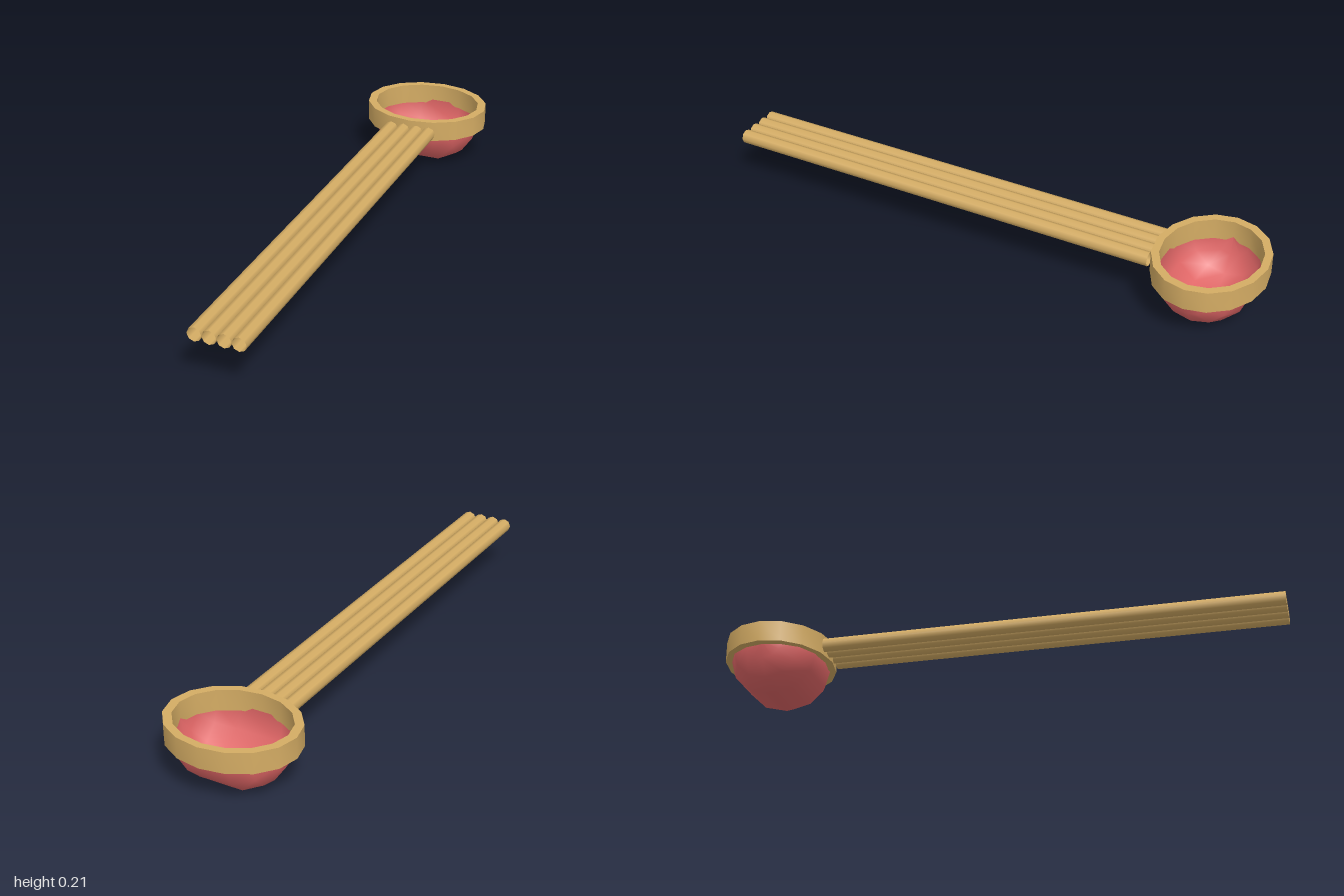
import * as THREE from 'three';
import { toCreasedNormals } from 'three/addons/utils/BufferGeometryUtils.js';

const wood = new THREE.MeshStandardMaterial({ color: 0xd4ac64, side: THREE.DoubleSide });
const red = new THREE.MeshStandardMaterial({ color: 0xe06666, side: THREE.DoubleSide });
const BOWL_Z = -0.807;

function addMesh(group, name, geometry, material, x, y, z) {
  const mesh = new THREE.Mesh(geometry, material);
  mesh.name = name;
  mesh.position.set(x, y, z);
  group.add(mesh);
}

const points = (list) => list.map(([x, y]) => new THREE.Vector2(x, y));

export function createModel() {
  const model = new THREE.Group();
  model.name = 'ladle';

  // Rim: oval band with a square section
  const section = [[0.231, 0.138], [0.231, 0.213], [0.2, 0.213], [0.2, 0.138], [0.231, 0.138]];
  const rim = new THREE.LatheGeometry(points(section), 16);
  rim.scale(1, 1, 0.1927 / 0.231);
  addMesh(model, 'rim', toCreasedNormals(rim, 0.7), wood, 0, 0, BOWL_Z);

  // Bowl: half turn of a profile about the x axis, open at the top
  const half = [[0, 0.2], [0.063, 0.187], [0.119, 0.147], [0.153, 0.08]];
  const profile = [...half.map(([r, a]) => [r, -a]), ...half.reverse()];
  const bowl = new THREE.LatheGeometry(points(profile), 6, Math.PI, Math.PI);
  bowl.rotateZ(Math.PI / 2);
  bowl.scale(1, 1, 0.161 / 0.153);
  addMesh(model, 'bowl', bowl, red, 0, 0.153, BOWL_Z);

  // Handle: four hollow rods side by side
  const handle = new THREE.Group();
  handle.name = 'handle';
  const length = 1.62;
  const rod = new THREE.CylinderGeometry(0.025, 0.025, length, 8, 1, true);
  rod.rotateX(Math.PI / 2);
  for (let i = 0; i < 4; i++) {
    addMesh(handle, 'rod', rod, wood, (i - 1.5) * 0.05, 0.17, 1 - length / 2);
  }
  model.add(handle);

  return model;
}
